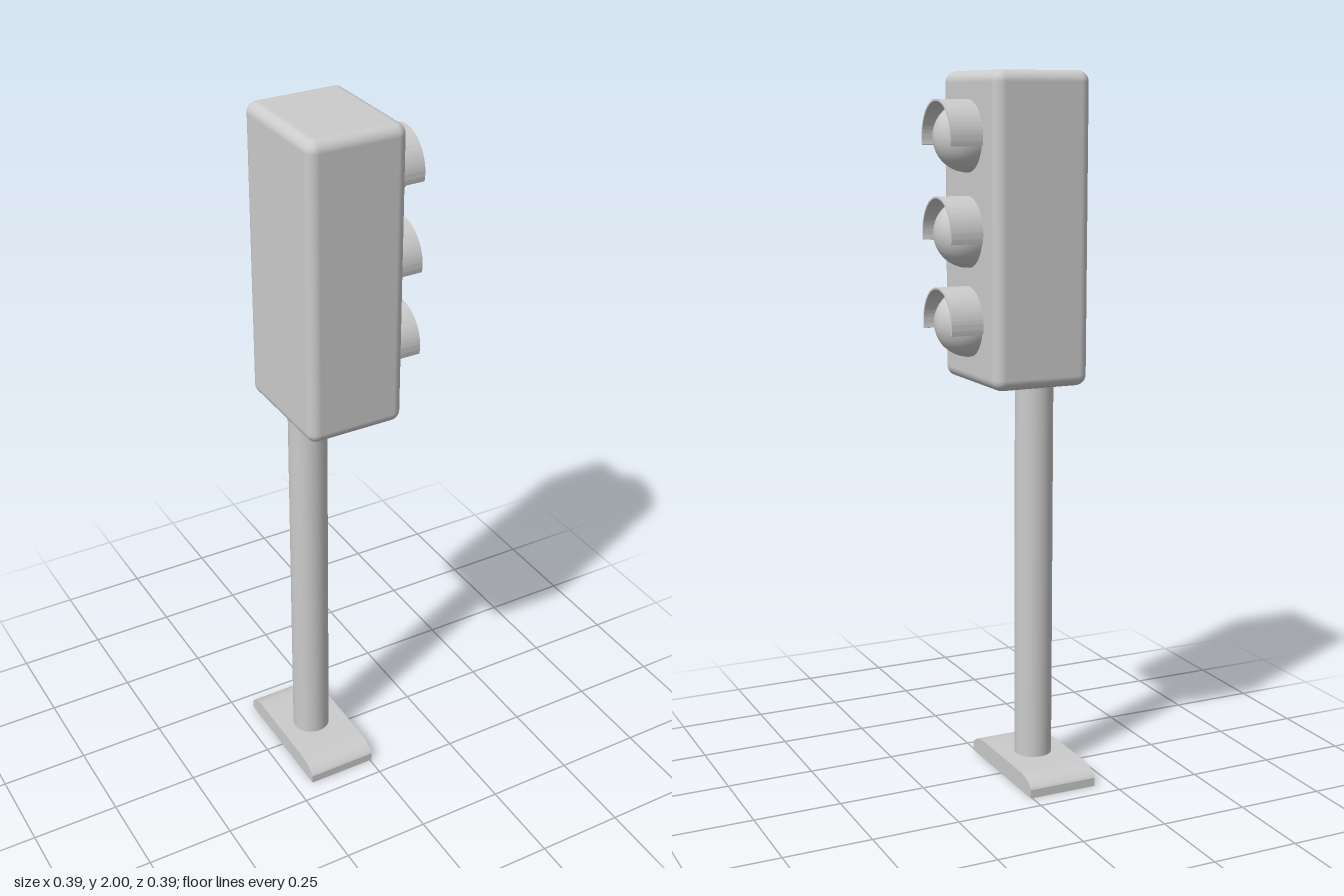
import * as THREE from 'three';
import { toCreasedNormals } from 'three/addons/utils/BufferGeometryUtils.js';
import { RoundedBoxGeometry } from 'three/addons/geometries/RoundedBoxGeometry.js';

const FACE_X = 0.103; // plane of the housing that carries the lamps

export function createModel() {
  const model = new THREE.Group();
  const material = new THREE.MeshStandardMaterial({ color: 0xcccccc });

  function add(name, geometry, x, y, z, parent = model) {
    const mesh = new THREE.Mesh(geometry, material);
    mesh.name = name;
    mesh.position.set(x, y, z);
    parent.add(mesh);
    return mesh;
  }

  // Extrude a (z, y) outline along +x, keeping curves smooth and edges sharp
  function extrudeAlongX(shape, depth) {
    const geometry = new THREE.ExtrudeGeometry(shape, { depth, bevelEnabled: false, curveSegments: 32 });
    return toCreasedNormals(geometry.rotateY(Math.PI / 2), 0.5);
  }

  // Foot plate with rounded shoulders at both ends
  const foot = new THREE.Shape();
  foot.moveTo(-0.195, 0);
  foot.lineTo(0.195, 0);
  foot.lineTo(0.195, 0.025);
  foot.bezierCurveTo(0.185, 0.042, 0.16, 0.053, 0.125, 0.054);
  foot.lineTo(-0.125, 0.054);
  foot.bezierCurveTo(-0.16, 0.053, -0.185, 0.042, -0.195, 0.025);
  foot.closePath();
  add('base', extrudeAlongX(foot, 0.203), -0.198, 0, -0.002);

  // Pole, running slightly into base and housing
  add('pole', new THREE.CylinderGeometry(0.054, 0.054, 1.16, 40), -0.098, 0.61, 0);

  // Signal housing
  add('housing', new RoundedBoxGeometry(0.281, 0.84, 0.348, 5, 0.03), -0.0375, 1.58, -0.004);

  // Visor: thin arch reaching a little below the lamp centre
  const dip = 0.23, outer = 0.099, inner = 0.094;
  const arch = new THREE.Shape();
  arch.absarc(0, 0, outer, -dip, Math.PI + dip, false);
  arch.absarc(0, 0, inner, Math.PI + dip, -dip, true);
  arch.closePath();
  const visorGeometry = extrudeAlongX(arch, 0.102);

  // Dome lens, flat side buried in the housing
  const lensGeometry = new THREE.SphereGeometry(0.094, 40, 16, 0, Math.PI * 2, 0, Math.PI / 2 + 0.1)
    .rotateZ(-Math.PI / 2);

  // Three lamps, top to bottom
  ['topLamp', 'middleLamp', 'bottomLamp'].forEach((name, i) => {
    const lamp = new THREE.Group();
    lamp.name = name;
    lamp.position.set(FACE_X, [1.827, 1.572, 1.329][i], 0);
    add('lens', lensGeometry, 0, 0, 0, lamp);
    add('visor', visorGeometry, -0.01, 0, 0, lamp);
    model.add(lamp);
  });

  return model;
}
